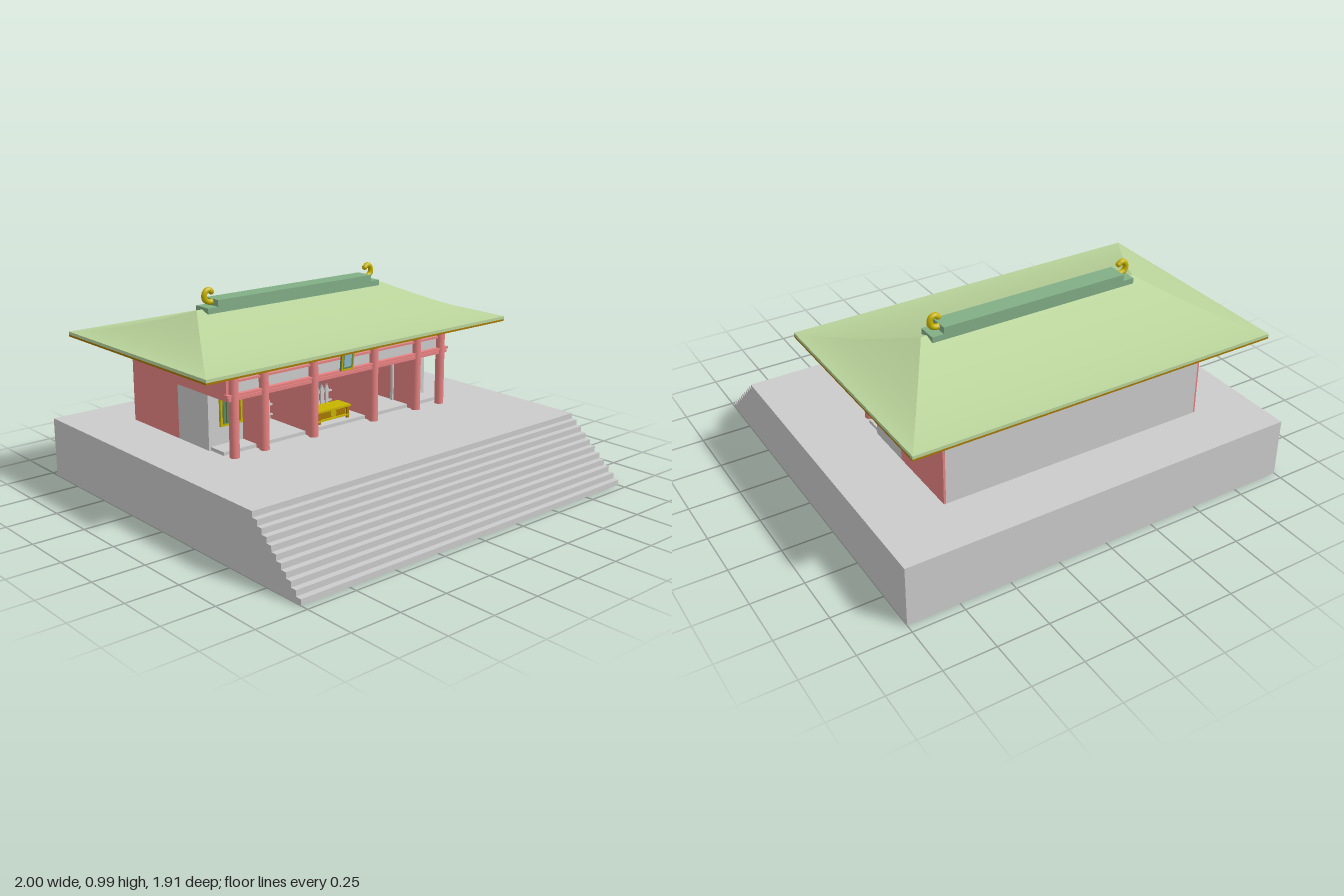
import * as THREE from 'three';

const mat = (color, side = THREE.FrontSide) => new THREE.MeshStandardMaterial({ color, side });
const GREY = mat(0xcccccc), RED = mat(0xe88282), GREEN = mat(0xbad49b, THREE.DoubleSide);
const RIDGE = mat(0x82ae86), GOLD = mat(0xc8b400), BROWN = mat(0xa87800), DARK = mat(0x777777);
const LATTICE = mat(0x5f8a5f), BLUE = mat(0x8fc0c8);

function add(parent, name, geometry, material, x = 0, y = 0, z = 0) {
  const m = new THREE.Mesh(geometry, material);
  m.name = name;
  m.position.set(x, y, z);
  parent.add(m);
  return m;
}

// Box given by its limits on each axis
function box(parent, name, material, x0, x1, y0, y1, z0, z1) {
  return add(parent, name, new THREE.BoxGeometry(x1 - x0, y1 - y0, z1 - z0), material,
    (x0 + x1) / 2, (y0 + y1) / 2, (z0 + z1) / 2);
}

function extrude(points, depth) {
  const shape = new THREE.Shape(points.map(p => new THREE.Vector2(...p)));
  return new THREE.ExtrudeGeometry(shape, { depth, bevelEnabled: false });
}

// Terrace with a full-width flight of steps
function terrace(parent) {
  const n = 11, top = 0.297, pts = [[-0.955, 0]];
  for (let i = 0; i < n; i++) {
    const z = 0.96 - 0.03 * i;
    pts.push([z, top * i / n], [z, top * (i + 1) / n]);
  }
  pts.push([-0.955, top]);
  const g = extrude(pts, 2);
  g.rotateY(-Math.PI / 2);
  g.translate(1, 0, 0);
  add(parent, 'steppedTerrace', g, GREY);
}

// One concave slope from the eave edge (a, b) up to the ridge (c, d)
function roofSlope(a, b, c, d) {
  const n = 14, pos = [], idx = [];
  for (let i = 0; i <= n; i++) {
    const t = i / n, y = 0.743 + 0.148 * Math.pow(t, 1.4);
    for (const [p, q] of [[a, c], [b, d]])
      pos.push(p[0] + (q[0] - p[0]) * t, y, p[1] + (q[1] - p[1]) * t);
    if (i < n) {
      const k = 2 * i;
      idx.push(k, k + 1, k + 3, k, k + 3, k + 2);
    }
  }
  const g = new THREE.BufferGeometry();
  g.setAttribute('position', new THREE.Float32BufferAttribute(pos, 3));
  g.setIndex(idx);
  g.computeVertexNormals();
  return g;
}

function roof(parent) {
  const X = 0.917, zf = 0.28, zb = -0.86, zr = -0.29;
  const fl = [-X, zf], fr = [X, zf], br = [X, zb], bl = [-X, zb];
  const rl = [-0.565, zr], rr = [0.565, zr];
  add(parent, 'roofFront', roofSlope(fl, fr, rl, rr), GREEN);
  add(parent, 'roofLeft', roofSlope(fr, br, rr, rr), GREEN);
  add(parent, 'roofBack', roofSlope(br, bl, rr, rl), GREEN);
  add(parent, 'roofRight', roofSlope(bl, fl, rl, rl), GREEN);
  box(parent, 'eaveEdge', GREEN, -X, X, 0.728, 0.743, zb, zf);
  box(parent, 'eaveUnderside', BROWN, -X, X, 0.719, 0.728, zb, zf);
  box(parent, 'ridgeBase', RIDGE, -0.535, 0.535, 0.875, 0.903, -0.337, -0.24);
  box(parent, 'ridgeCap', RIDGE, -0.478, 0.478, 0.903, 0.935, -0.337, -0.24);
  // Curled ridge-end ornaments, open towards the middle
  for (const s of [-1, 1]) {
    const pts = [[0.48, 0.968], [0.495, 0.978], [0.512, 0.972], [0.521, 0.953], [0.515, 0.932], [0.495, 0.921], [0.48, 0.921]]
      .map(([x, y]) => new THREE.Vector3(s * x, y, zr));
    const g = new THREE.TubeGeometry(new THREE.CatmullRomCurve3(pts), 24, 0.014, 10);
    add(parent, 'ridgeOrnament', g, GOLD);
    for (const p of [pts[0], pts[6]])
      add(parent, 'ornamentTip', new THREE.SphereGeometry(0.014, 10, 8), GOLD, p.x, p.y, p.z);
  }
}

function walls(parent) {
  const W = 0.684;
  box(parent, 'backWall', GREY, -W + 0.01, W - 0.01, 0.297, 0.72, -0.676, -0.66);
  box(parent, 'innerWall', DARK, -W + 0.02, W - 0.02, 0.297, 0.72, -0.3, -0.288);
  box(parent, 'porchFloor', GREY, -W + 0.01, W - 0.01, 0.297, 0.314, -0.29, 0.05);
  box(parent, 'frontPlaster', GREY, -W + 0.02, W - 0.02, 0.57, 0.72, 0.075, 0.09);
  for (const s of [-1, 1]) {
    const side = (name, m, y0, y1, z0, z1) =>
      box(parent, name, m, s * W - (s > 0 ? 0.02 : 0), s * W + (s > 0 ? 0 : 0.02), y0, y1, z0, z1);
    side('sideWall', RED, 0.297, 0.72, -0.675, -0.29);
    side('sideUpperWall', RED, 0.56, 0.72, -0.29, 0.093);
    side('sidePlaster', GREY, 0.297, 0.56, -0.29, -0.05);
    // Outer bay wall with its barred window
    const cx = s * 0.563;
    box(parent, 'bayWall', GREY, cx - 0.105, cx + 0.105, 0.297, 0.72, -0.065, -0.05);
    box(parent, 'windowRecess', DARK, cx - 0.055, cx + 0.055, 0.4, 0.56, -0.05, -0.047);
    for (const y of [0.4, 0.554]) box(parent, 'windowRail', GOLD, cx - 0.06, cx + 0.06, y, y + 0.009, -0.05, -0.036);
    for (const d of [-0.056, 0.056]) box(parent, 'windowJamb', GOLD, cx + d - 0.005, cx + d + 0.005, 0.4, 0.563, -0.05, -0.036);
    for (let i = -2; i <= 2; i++)
      box(parent, 'windowBar', LATTICE, cx + i * 0.02 - 0.005, cx + i * 0.02 + 0.005, 0.405, 0.56, -0.048, -0.038);
  }
  // Pale transom panels high on the inner wall
  for (let i = 0; i < 15; i++) {
    const x = -0.434 + i * 0.062;
    box(parent, 'transomPanel', GREY, x - 0.027, x + 0.027, 0.5, 0.556, -0.288, -0.282);
  }
}

function frontFrame(parent) {
  const columnZ = 0.097;
  for (const s of [-1, 1]) for (const x of [0.19, 0.48, 0.648]) {
    add(parent, 'column', new THREE.CylinderGeometry(0.023, 0.023, 0.385, 20), RED, s * x, 0.4895, columnZ);
    if (x < 0.6) box(parent, 'partition', RED, s * x - 0.012, s * x + 0.012, 0.297, 0.6, -0.29, columnZ);
    // Boat-shaped bracket on the column head
    const b = extrude([[-0.04, 0], [0.04, 0], [0.065, 0.014], [0.065, 0.024], [-0.065, 0.024], [-0.065, 0.014]], 0.03);
    add(parent, 'bracket', b, RED, s * Math.min(x, 0.618), 0.676, columnZ - 0.015);
  }
  const beam = (w, y0, y1, d) => box(parent, 'beam', RED, -w, w, y0, y1, columnZ - d, columnZ + d);
  beam(0.684, 0.698, 0.718, 0.013);
  beam(0.67, 0.642, 0.652, 0.006);
  beam(0.69, 0.581, 0.592, 0.015);
  beam(0.684, 0.562, 0.578, 0.012);
  // Tilted plaque over the middle bay
  const plaque = new THREE.Group();
  plaque.name = 'plaque';
  plaque.position.set(0, 0.645, 0.119);
  plaque.rotation.x = 0.1;
  parent.add(plaque);
  box(plaque, 'plaqueBoard', LATTICE, -0.038, 0.038, -0.055, 0.055, -0.006, 0.004);
  box(plaque, 'plaquePanel', BLUE, -0.022, 0.022, -0.038, 0.038, 0.004, 0.007);
  for (const s of [-1, 1]) {
    box(plaque, 'plaqueSide', GOLD, s * 0.034 - 0.003, s * 0.034 + 0.003, -0.055, 0.055, 0.004, 0.008);
    box(plaque, 'plaqueEnd', GOLD, -0.037, 0.037, s * 0.051 - 0.003, s * 0.051 + 0.003, 0.004, 0.008);
  }
}

// Pointed picket fence and offering table inside the porch
function porchFurniture(parent) {
  const picket = extrude([[-0.009, 0], [0.009, 0], [0.009, 0.08], [0.012, 0.088], [0, 0.118], [-0.012, 0.088], [-0.009, 0.08]], 0.01);
  for (let i = 0; i < 30; i++) {
    const x = -0.45 + i * 0.9 / 29;
    if (Math.abs(Math.abs(x) - 0.19) > 0.02) add(parent, 'picket', picket, GREY, x, 0.314, -0.2);
  }
  for (const y of [0.335, 0.385]) box(parent, 'fenceRail', GREY, -0.47, 0.47, y, y + 0.009, -0.206, -0.198);

  box(parent, 'tableTop', GOLD, -0.103, 0.103, 0.372, 0.382, -0.065, 0.03);
  box(parent, 'tableBody', BROWN, -0.08, 0.08, 0.333, 0.372, -0.05, 0.015);
  box(parent, 'tableRail', GOLD, -0.1, 0.1, 0.326, 0.334, -0.06, 0.025);
  for (const x of [-0.09, 0.09]) for (const z of [-0.053, 0.018])
    box(parent, 'tableLeg', BROWN, x - 0.006, x + 0.006, 0.314, 0.372, z - 0.006, z + 0.006);
  const disc = new THREE.CylinderGeometry(0.018, 0.018, 0.006, 20);
  disc.rotateX(Math.PI / 2);
  add(parent, 'tableDisc', disc, GOLD, 0, 0.352, 0.018);
}

export function createModel() {
  const model = new THREE.Group();
  model.name = 'templeGate';
  terrace(model);
  const hall = new THREE.Group();
  hall.name = 'hall';
  hall.position.x = -0.022;
  model.add(hall);
  roof(hall);
  walls(hall);
  frontFrame(hall);
  porchFurniture(hall);
  return model;
}
